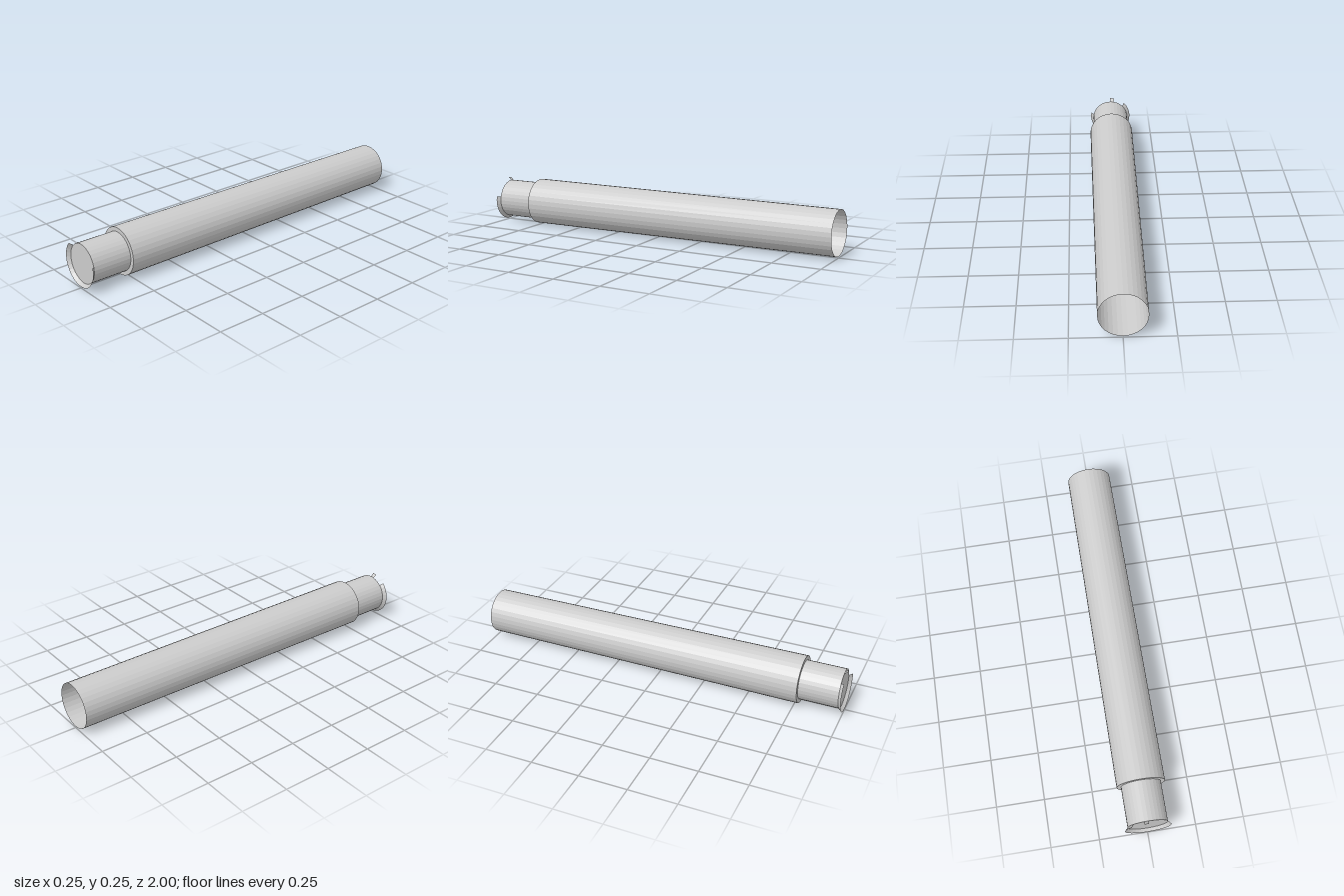
import * as THREE from 'three';

const SIDES = 32;
const STEP = (Math.PI * 2) / SIDES;
const AXIS_Y = 0.125;

const material = new THREE.MeshStandardMaterial({
  color: 0xcccccc, flatShading: true, side: THREE.DoubleSide,
});

// Turned surface along z. Profile is [radius, z]; step 0 is at the bottom, counted towards +x.
function turned(name, profile, firstStep = 0, steps = SIDES) {
  const points = profile.map(([r, z]) => new THREE.Vector2(r, z));
  const geometry = new THREE.LatheGeometry(points, steps, firstStep * STEP, steps * STEP);
  geometry.rotateX(Math.PI / 2);
  const mesh = new THREE.Mesh(geometry, material);
  mesh.name = name;
  mesh.position.y = AXIS_Y;
  return mesh;
}

export function createModel() {
  const group = new THREE.Group();
  group.name = 'cartridgeCase';

  // Slightly tapered body, open at the back
  group.add(turned('body', [[0.118, -1], [0.125, 0.775]]));
  // Flat step from the body in to the neck
  group.add(turned('shoulder', [[0.125, 0.775], [0.103, 0.775]]));
  // Narrow neck and its closed front end
  group.add(turned('neck', [[0.103, 0.775], [0.103, 0.983]]));
  group.add(turned('endCap', [[0.103, 0.983], [0, 0.983]]));

  // Flared rim, broken away at the top except for one small tab
  const flare = [[0.103, 0.983], [0.119, 1]];
  group.add(turned('rim', flare, 20, 21));
  group.add(turned('rimTab', flare, 16, 1));

  return group;
}
